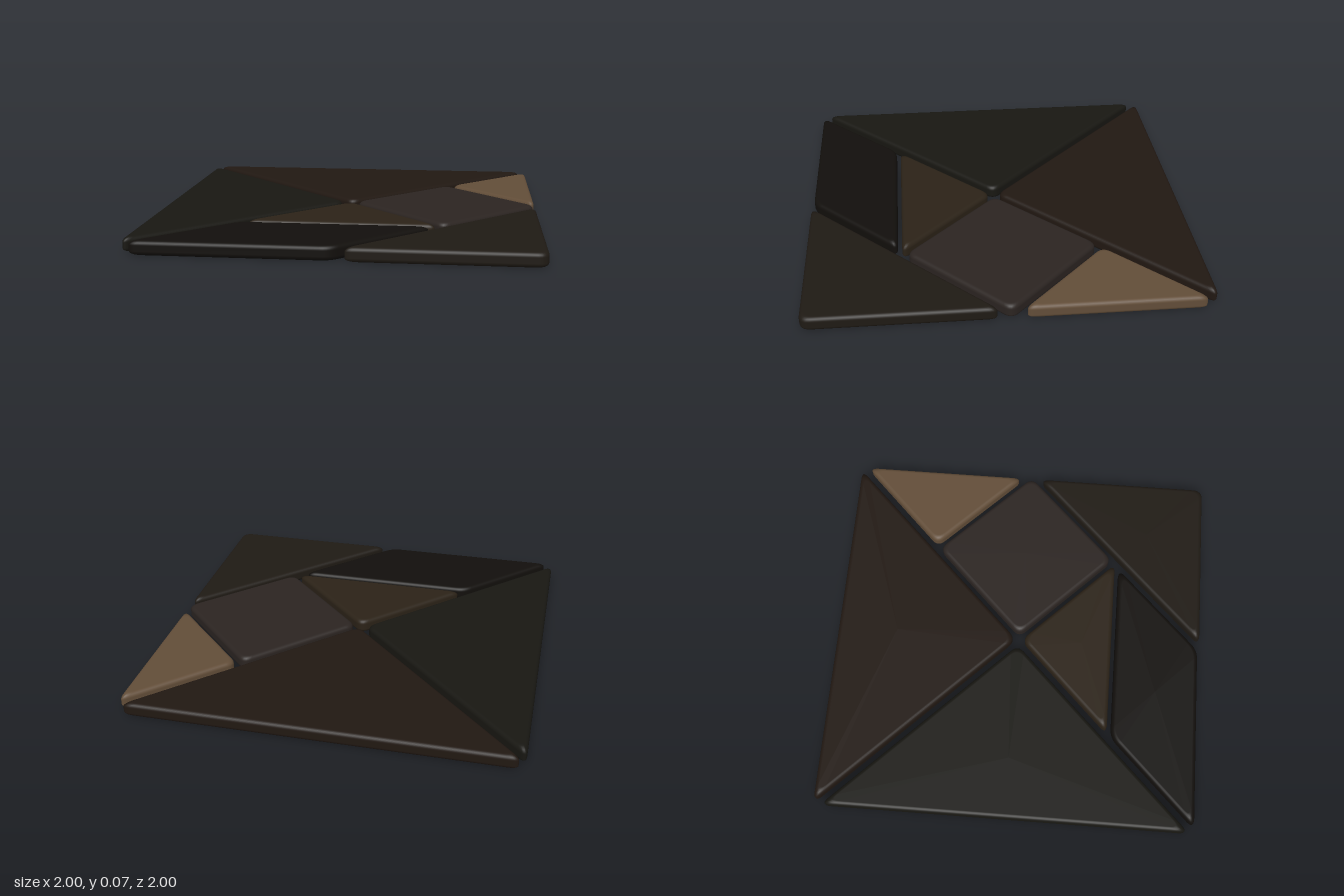
import * as THREE from 'three';

const HEIGHT = 0.073, BEVEL = 0.022, CUT = 0.05, STEPS = 6;

// Corners as [x, z], counter-clockwise seen from above
const PIECES = [
  ['largeTriangleBack', 0x211812, [[-0.988, -1], [-0.004, -0.015], [0.98, -1]]],
  ['largeTriangleRight', 0x181712, [[-1, -0.962], [-1, 0.962], [-0.04, 0]]],
  ['mediumTriangle', 0x1f1a14, [[0.05, 1], [1, 1], [1, 0.05]]],
  ['smallTriangleCentre', 0x2b2217, [[-0.5, 0.513], [0.49, 0.513], [-0.005, 0.018]]],
  ['smallTriangleLeft', 0x624d38, [[0.541, -0.508], [1, -0.053], [1, -0.963]]],
  ['square', 0x2b2421, [[0.02, 0.002], [0.513, 0.495], [1.006, 0.002], [0.513, -0.491]]],
  ['parallelogram', 0x120f0c, [[-0.973, 0.989], [0.006, 0.989], [0.46, 0.535], [-0.519, 0.535]]],
];

// Outline inset by d with softened corners: points and outward normals
function outline(corners, d) {
  const pts = corners.map(([x, z]) => new THREE.Vector2(x, z));
  const n = pts.length, ring = [];
  pts.forEach((p, i) => {
    const u = p.clone().sub(pts[(i + n - 1) % n]).normalize();
    const v = pts[(i + 1) % n].clone().sub(p).normalize();
    const n1 = new THREE.Vector2(-u.y, u.x), n2 = new THREE.Vector2(-v.y, v.x);
    const c = p.clone().addScaledVector(n1.clone().add(n2), -d / (1 + n1.dot(n2)));
    const curve = new THREE.QuadraticBezierCurve(
      c.clone().addScaledVector(u, -CUT), c, c.clone().addScaledVector(v, CUT));
    for (let s = 0; s <= STEPS; s++) {
      const t = s / STEPS;
      const tan = u.clone().multiplyScalar(1 - t).addScaledVector(v, t).normalize();
      ring.push({ p: curve.getPoint(t), n: new THREE.Vector2(-tan.y, tan.x) });
    }
  });
  return ring;
}

// Flat tile with rounded upper and lower rims, lofted from stacked outlines
function tileGeometry(corners) {
  const pos = [], nor = [], idx = [];
  const layers = [];
  for (let k = 0; k <= STEPS; k++) layers.push([(k / STEPS - 1) * Math.PI / 2, BEVEL]);
  for (let k = 0; k <= STEPS; k++) layers.push([(k / STEPS) * Math.PI / 2, HEIGHT - BEVEL]);
  let count = 0;
  for (const [phi, base] of layers) {
    const ring = outline(corners, BEVEL * (1 - Math.cos(phi)));
    count = ring.length;
    for (const { p, n } of ring) {
      pos.push(p.x, base + BEVEL * Math.sin(phi), p.y);
      nor.push(n.x * Math.cos(phi), Math.sin(phi), n.y * Math.cos(phi));
    }
  }
  // Rim and side walls
  for (let k = 0; k < layers.length - 1; k++) {
    for (let i = 0; i < count; i++) {
      const j = (i + 1) % count, a = k * count, b = a + count;
      idx.push(a + i, a + j, b + j, a + i, b + j, b + i);
    }
  }
  // Top and bottom faces
  const cx = corners.reduce((s, c) => s + c[0], 0) / corners.length;
  const cz = corners.reduce((s, c) => s + c[1], 0) / corners.length;
  const bottom = layers.length * count, top = bottom + 1, last = bottom - count;
  pos.push(cx, 0, cz, cx, HEIGHT, cz);
  nor.push(0, -1, 0, 0, 1, 0);
  for (let i = 0; i < count; i++) {
    const j = (i + 1) % count;
    idx.push(bottom, j, i, top, last + i, last + j);
  }
  const g = new THREE.BufferGeometry();
  g.setAttribute('position', new THREE.Float32BufferAttribute(pos, 3));
  g.setAttribute('normal', new THREE.Float32BufferAttribute(nor, 3));
  g.setIndex(idx);
  return g;
}

export function createModel() {
  const group = new THREE.Group();
  group.name = 'tangram';
  for (const [name, color, corners] of PIECES) {
    const mesh = new THREE.Mesh(tileGeometry(corners), new THREE.MeshStandardMaterial({ color }));
    mesh.name = name;
    group.add(mesh);
  }
  return group;
}
